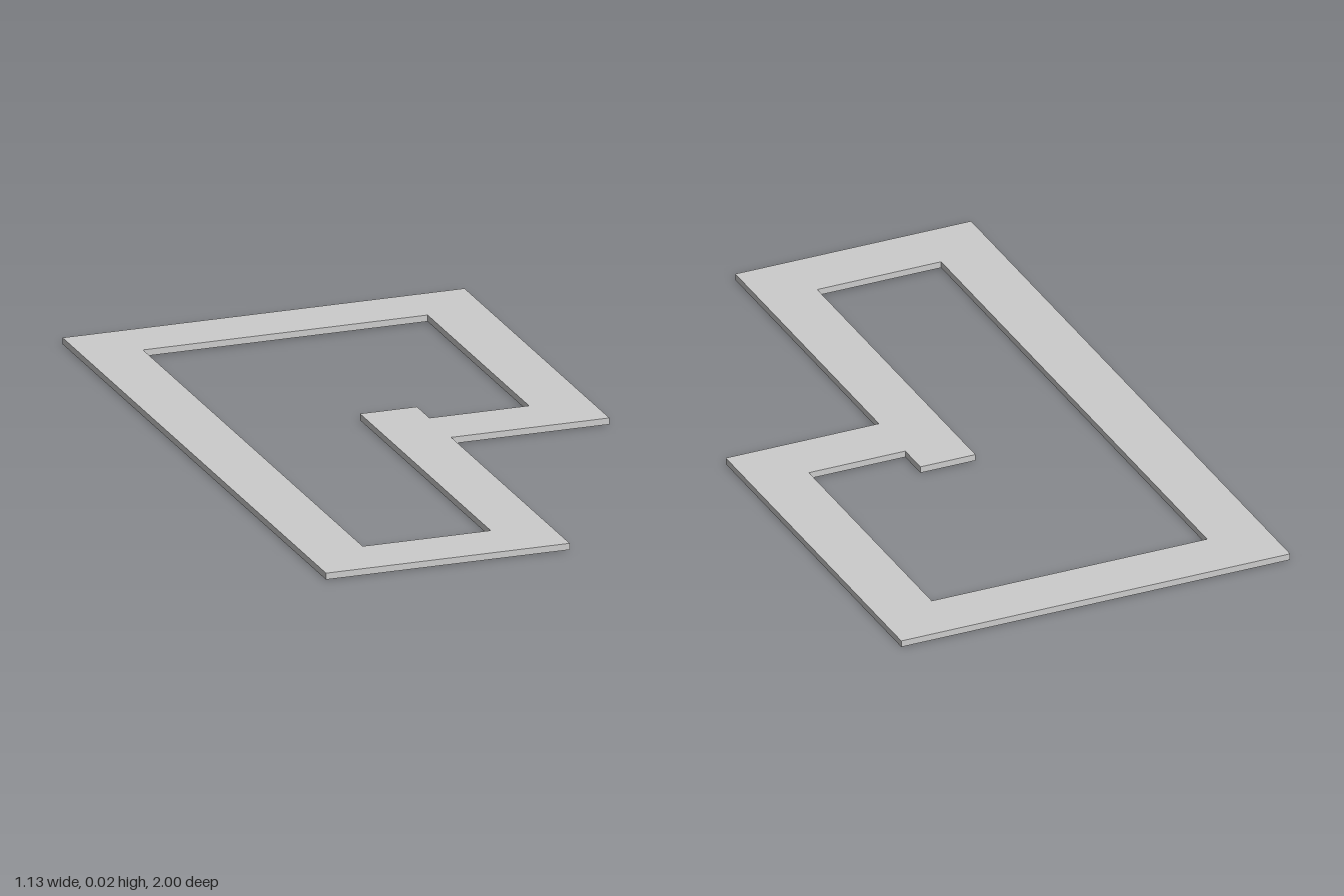
import * as THREE from 'three';

const THICKNESS = 0.018;

// Corner lists are [x, z] pairs in plan
const toPoints = (corners) => corners.map(([x, z]) => new THREE.Vector2(x, z));

export function createModel() {
  const group = new THREE.Group();
  group.name = 'flatFrame';

  // L-shaped outer edge
  const outline = new THREE.Shape(toPoints([
    [-0.565, -1], [0.565, -1], [0.565, 0.1], [0.12, 0.1], [0.12, 1], [-0.565, 1],
  ]));

  // Opening, with the short stub of the inner bar reaching into it
  outline.holes.push(new THREE.Path(toPoints([
    [-0.4, -0.835], [0.4, -0.835], [0.4, -0.065], [0.12, -0.065],
    [0.12, -0.16], [-0.04, -0.16], [-0.04, 0.832], [-0.4, 0.832],
  ])));

  // Lay the extrusion flat with its underside on the ground
  const geometry = new THREE.ExtrudeGeometry(outline, { depth: THICKNESS, bevelEnabled: false });
  geometry.rotateX(Math.PI / 2).translate(0, THICKNESS, 0);

  const frame = new THREE.Mesh(geometry, new THREE.MeshStandardMaterial({ color: 0xcccccc }));
  frame.name = 'frame';
  group.add(frame);
  return group;
}
